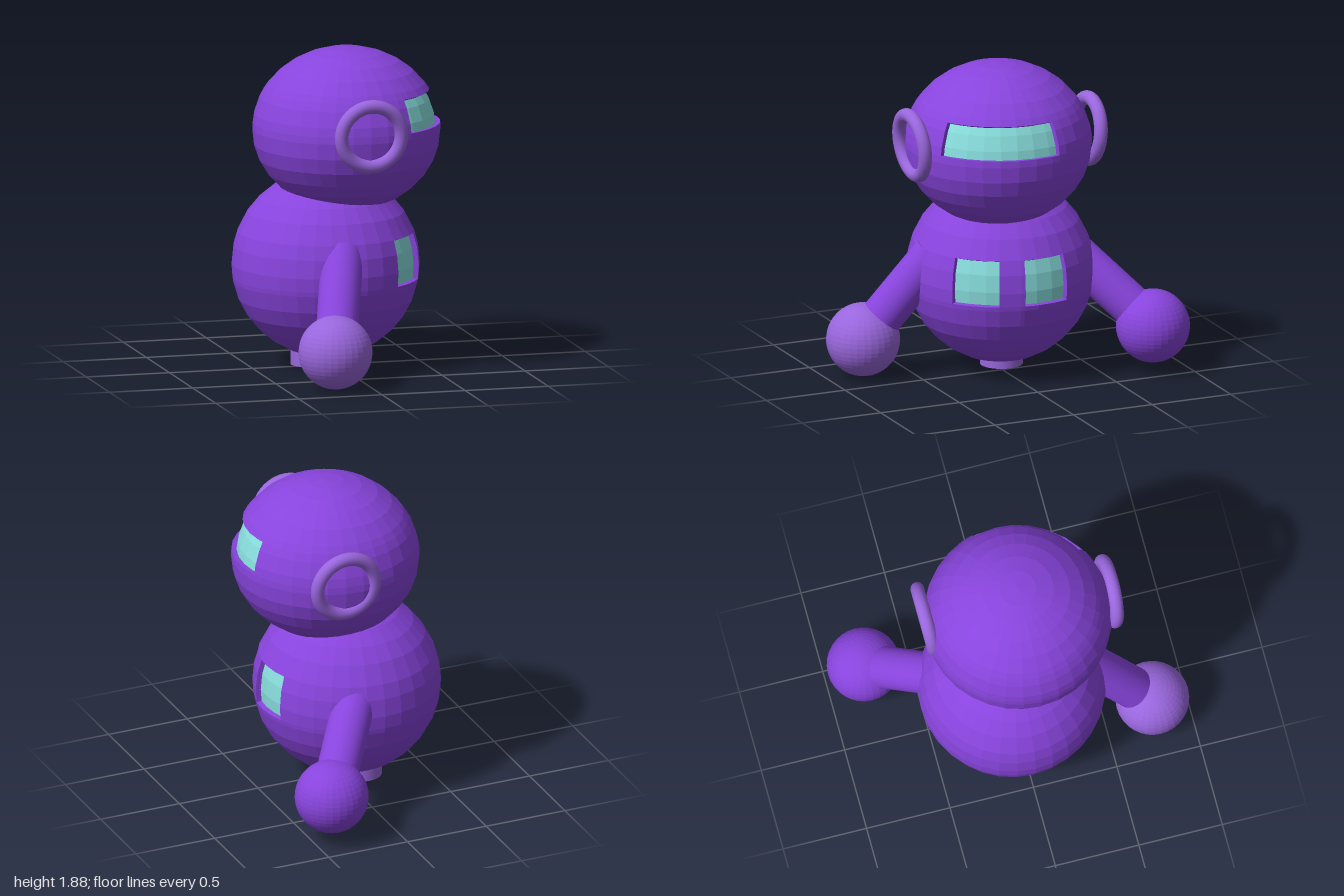
import * as THREE from 'three';

const mat = (name, color, opts = {}) => {
  const m = new THREE.MeshStandardMaterial({ color, flatShading: true, ...opts });
  m.name = name;
  return m;
};

// Evenly spaced angles (degrees) with extra cut lines inserted
function angles(from, to, step, cuts) {
  const list = [...cuts];
  for (let a = from; a <= to + 1e-6; a += step) {
    if (!cuts.some((c) => Math.abs(c - a) < 2.5)) list.push(a);
  }
  return [...new Set(list)].sort((a, b) => a - b);
}

// Faceted ellipsoid with recessed windows {t0, t1, p0, p1}, in degrees:
// t runs down from the pole, p runs from +x towards +z
function shell(rx, ry, depth, windows) {
  const ts = angles(0, 180, 11.25, windows.flatMap((w) => [w.t0, w.t1]));
  const ps = angles(-180, 180, 11.25, windows.flatMap((w) => [w.p0, w.p1]));
  const inner = 1 - depth / rx;
  const skin = [], glass = [];
  const point = (t, p, k = 1) => {
    const a = THREE.MathUtils.degToRad(t), b = THREE.MathUtils.degToRad(p);
    return new THREE.Vector3(
      rx * Math.sin(a) * Math.cos(b), ry * Math.cos(a), rx * Math.sin(a) * Math.sin(b)
    ).multiplyScalar(k);
  };
  const tri = (out, a, b, c) => {
    if (a.distanceTo(b) < 1e-5 || b.distanceTo(c) < 1e-5 || c.distanceTo(a) < 1e-5) return;
    out.push(...a.toArray(), ...b.toArray(), ...c.toArray());
  };
  const quad = (out, a, b, c, d) => {
    tri(out, a, b, c);
    tri(out, a, c, d);
  };
  for (let i = 0; i < ts.length - 1; i++) {
    for (let j = 0; j < ps.length - 1; j++) {
      const corners = (k) => [
        point(ts[i], ps[j], k), point(ts[i], ps[j + 1], k),
        point(ts[i + 1], ps[j + 1], k), point(ts[i + 1], ps[j], k),
      ];
      const tm = (ts[i] + ts[i + 1]) / 2, pm = (ps[j] + ps[j + 1]) / 2;
      const w = windows.find((v) => tm > v.t0 && tm < v.t1 && pm > v.p0 && pm < v.p1);
      const [a, b, c, d] = corners(1);
      if (!w) {
        quad(skin, a, b, c, d);
        continue;
      }
      // Recessed pane and the walls around it
      const [e, f, g, h] = corners(inner);
      quad(glass, e, f, g, h);
      if (ts[i] === w.t0) quad(skin, a, b, f, e);
      if (ts[i + 1] === w.t1) quad(skin, h, g, c, d);
      if (ps[j] === w.p0) quad(skin, h, d, a, e);
      if (ps[j + 1] === w.p1) quad(skin, f, b, c, g);
    }
  }
  return [skin, glass].map((positions) => {
    const geo = new THREE.BufferGeometry();
    geo.setAttribute('position', new THREE.Float32BufferAttribute(positions, 3));
    geo.computeVertexNormals();
    return geo;
  });
}

export function createModel() {
  const model = new THREE.Group();
  model.name = 'robot';
  const purple = mat('purple', 0x8844dd);
  const smoothPurple = mat('arm purple', 0x8844dd, { flatShading: false });
  const lilac = mat('lilac', 0x9966dd);
  const smoothLilac = mat('ring lilac', 0x9966dd, { flatShading: false });
  const teal = mat('teal', 0x88dddd);

  const add = (name, geo, material, x, y, z) => {
    const mesh = new THREE.Mesh(geo, material);
    mesh.name = name;
    mesh.position.set(x, y, z);
    model.add(mesh);
    return mesh;
  };

  // Round body with two recessed chest windows
  const [bodyGeo, chestGeo] = shell(0.547, 0.547, 0.03, [
    { t0: 69.6, t1: 98.4, p0: 24.8, p1: 55 },
    { t0: 69.6, t1: 98.4, p0: -20.8, p1: 8.7 },
  ]);
  add('body', bodyGeo, purple, -0.057, 0.6, -0.014);
  add('chestWindows', chestGeo, teal, -0.057, 0.6, -0.014);

  // Flattened head with a wide recessed visor
  const [headGeo, visorGeo] = shell(0.547, 0.48, 0.03, [
    { t0: 61.4, t1: 85.2, p0: -16.7, p1: 61.7 },
  ]);
  add('head', headGeo, purple, 0.05, 1.4, 0.05);
  add('visor', visorGeo, teal, 0.05, 1.4, 0.05);

  // Ear rings, leaning outward at the top
  const ringGeo = new THREE.TorusGeometry(0.18, 0.04, 16, 48);
  add('rightEarRing', ringGeo, smoothLilac, 0.05, 1.445, 0.595).rotation.x = 0.09;
  add('leftEarRing', ringGeo, smoothLilac, 0.155, 1.445, -0.475).rotation.x = -0.09;

  // Arms running from inside the body to ball hands
  const handGeo = new THREE.SphereGeometry(0.215, 32, 24);
  const arm = (side, shoulder, hand, handMaterial) => {
    const a = new THREE.Vector3(...shoulder), b = new THREE.Vector3(...hand);
    const dir = b.clone().sub(a);
    const mid = a.clone().add(b).multiplyScalar(0.5);
    const geo = new THREE.CylinderGeometry(0.123, 0.123, dir.length(), 32);
    add(side + 'Arm', geo, smoothPurple, ...mid.toArray())
      .quaternion.setFromUnitVectors(new THREE.Vector3(0, 1, 0), dir.normalize());
    add(side + 'Hand', handGeo, handMaterial, ...hand);
  };
  arm('right', [-0.07, 0.735, 0.4], [-0.22, 0.222, 0.785], lilac);
  arm('left', [0.04, 0.72, -0.38], [0.385, 0.275, -0.785], purple);

  // Short round foot
  add('foot', new THREE.CylinderGeometry(0.125, 0.125, 0.14, 32), smoothLilac, -0.127, 0.07, -0.053);

  return model;
}
